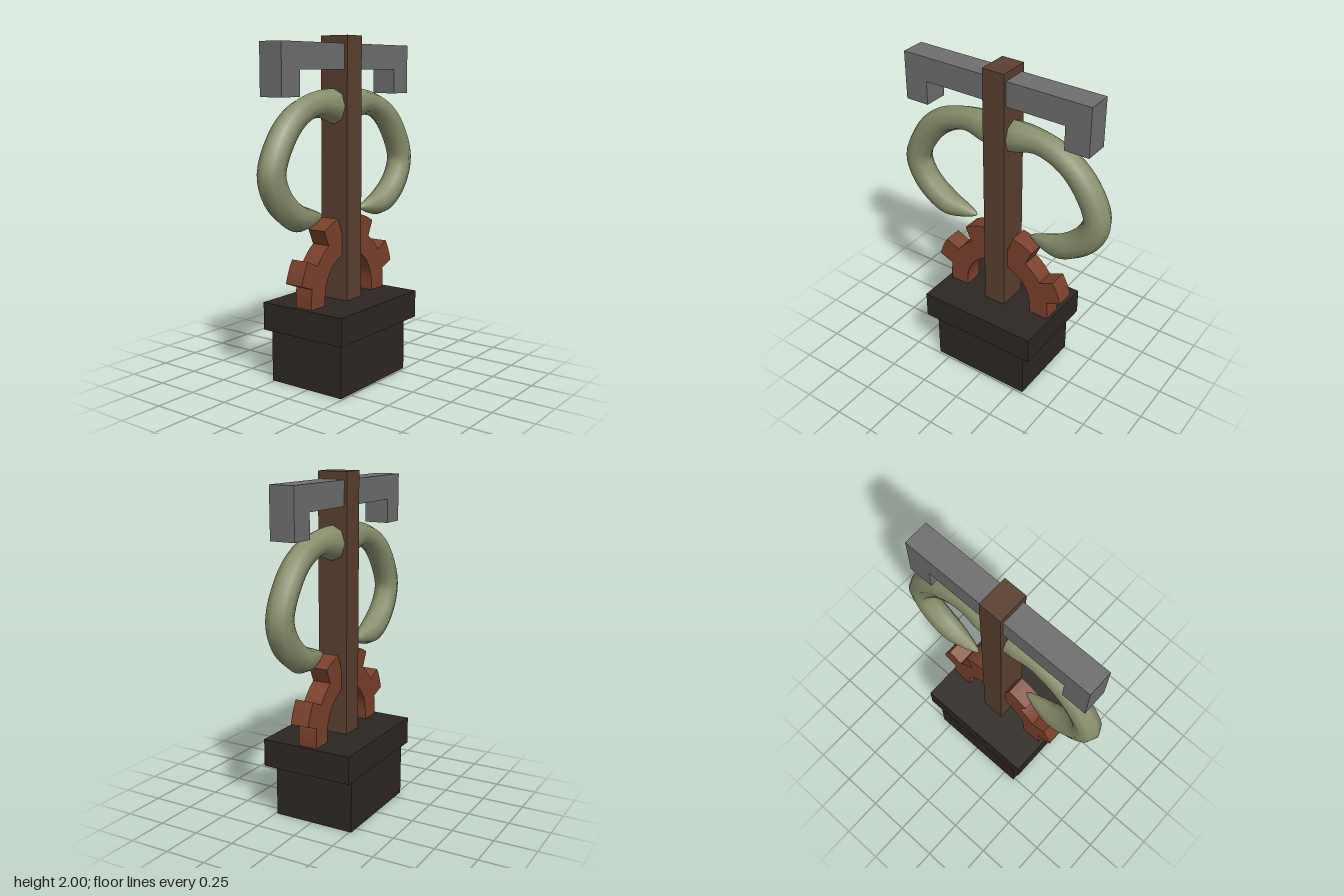
import * as THREE from 'three';

const mat = (color, flatShading = false) => new THREE.MeshStandardMaterial({ color, flatShading });

// Box given by its x, y and z extents
function box(name, material, [x0, x1], [y0, y1], [z0, z1]) {
  const mesh = new THREE.Mesh(new THREE.BoxGeometry(x1 - x0, y1 - y0, z1 - z0), material);
  mesh.position.set((x0 + x1) / 2, (y0 + y1) / 2, (z0 + z1) / 2);
  mesh.name = name;
  return mesh;
}

// Extrude a profile drawn in (z, y) along x, between x0 and x1
function extrudeAlongX(name, material, shape, x0, x1) {
  const geo = new THREE.ExtrudeGeometry(shape, { depth: x1 - x0, bevelEnabled: false, curveSegments: 24 });
  geo.rotateY(-Math.PI / 2).translate(x1, 0, 0);
  const mesh = new THREE.Mesh(geo, material);
  mesh.name = name;
  return mesh;
}

// Half gear: arch with four teeth, its feet sunk into the plinth
function gearShape(cy, foot) {
  const inner = 0.23, rim = 0.354, tip = 0.45;
  const shape = new THREE.Shape();
  const to = (r, deg) => {
    const a = THREE.MathUtils.degToRad(deg);
    shape.lineTo(r * Math.cos(a), cy + r * Math.sin(a));
  };
  shape.moveTo(rim, foot);
  for (let i = 0; i < 4; i++) {
    const mid = 22.5 + i * 45;
    for (let d = -34; d < -11; d += 4) if (mid + d >= 0) to(rim, mid + d);
    to(rim, mid - 11);
    for (const d of [-9, -4.5, 0, 4.5, 9]) to(tip, mid + d);
    to(rim, mid + 11);
  }
  to(rim, 173);
  to(rim, 180);
  shape.lineTo(-rim, foot);
  shape.lineTo(-inner, foot);
  shape.lineTo(-inner, cy);
  shape.absarc(0, cy, inner, Math.PI, 0, true);
  shape.lineTo(inner, foot);
  return shape;
}

// Horn: eight-sided tapering loft; stations are (z, y, radius)
function hornGeometry() {
  const path = new THREE.CatmullRomCurve3([
    [0, 1.59, 0.1], [0.08, 1.607, 0.098], [0.23, 1.62, 0.074], [0.395, 1.568, 0.075],
    [0.52, 1.46, 0.08], [0.612, 1.273, 0.082], [0.578, 1.152, 0.083], [0.495, 1.06, 0.083],
    [0.393, 1.004, 0.077], [0.287, 0.993, 0.05], [0.21, 0.992, 0.02], [0.188, 0.992, 0.003],
  ].map((p) => new THREE.Vector3(...p)));
  const steps = 48, sides = 8, pos = [], index = [];
  for (let i = 0; i <= steps; i++) {
    const p = path.getPoint(i / steps), t = path.getTangent(i / steps);
    const len = Math.hypot(t.x, t.y);
    const nz = -t.y / len, ny = t.x / len, r = p.z;
    for (let j = 0; j < sides; j++) {
      const a = (j / sides) * Math.PI * 2;
      const s = r * Math.cos(a);
      pos.push(Math.min(r * 0.9, 0.079) * Math.sin(a), p.y + ny * s, p.x + nz * s);
      if (i === steps) continue;
      const k = (j + 1) % sides;
      const a0 = i * sides + j, b0 = i * sides + k;
      index.push(a0, a0 + sides, b0, b0, a0 + sides, b0 + sides);
    }
  }
  const geo = new THREE.BufferGeometry();
  geo.setAttribute('position', new THREE.Float32BufferAttribute(pos, 3));
  geo.setIndex(index);
  geo.computeVertexNormals();
  return geo;
}

export function createModel() {
  const model = new THREE.Group();
  model.name = 'totem';
  const dark = mat(0x2d2722), wood = mat(0x5a3f30), rust = mat(0x7a402c, true);
  const steel = mat(0x6e6e6e), bone = mat(0x8a8f6d);
  bone.side = THREE.DoubleSide;

  // Plinth and post
  model.add(box('plinthFoot', dark, [-0.262, 0.239], [0, 0.32], [-0.31, 0.329]));
  model.add(box('plinthTop', dark, [-0.28, 0.28], [0.32, 0.483], [-0.373, 0.381]));
  model.add(box('post', wood, [-0.095, 0.09], [0.48, 2], [-0.068, 0.071]));

  // Half gear around the foot of the post
  model.add(extrudeAlongX('halfGear', rust, gearShape(0.53, 0.47), -0.061, 0.053));

  // Crossbar with its ends turned down
  const bar = new THREE.Shape([
    [0.612, 1.955], [-0.578, 1.955], [-0.578, 1.668], [-0.43, 1.668],
    [-0.43, 1.81], [0.464, 1.81], [0.464, 1.668], [0.612, 1.668],
  ].map((p) => new THREE.Vector2(...p)));
  model.add(extrudeAlongX('crossbar', steel, bar, -0.077, 0.072));

  // Pair of curling horns
  const horn = hornGeometry();
  ['frontHorn', 'backHorn'].forEach((name, i) => {
    const mesh = new THREE.Mesh(horn, bone);
    mesh.name = name;
    mesh.position.x = -0.003;
    mesh.rotation.y = i * Math.PI;
    model.add(mesh);
  });
  return model;
}
